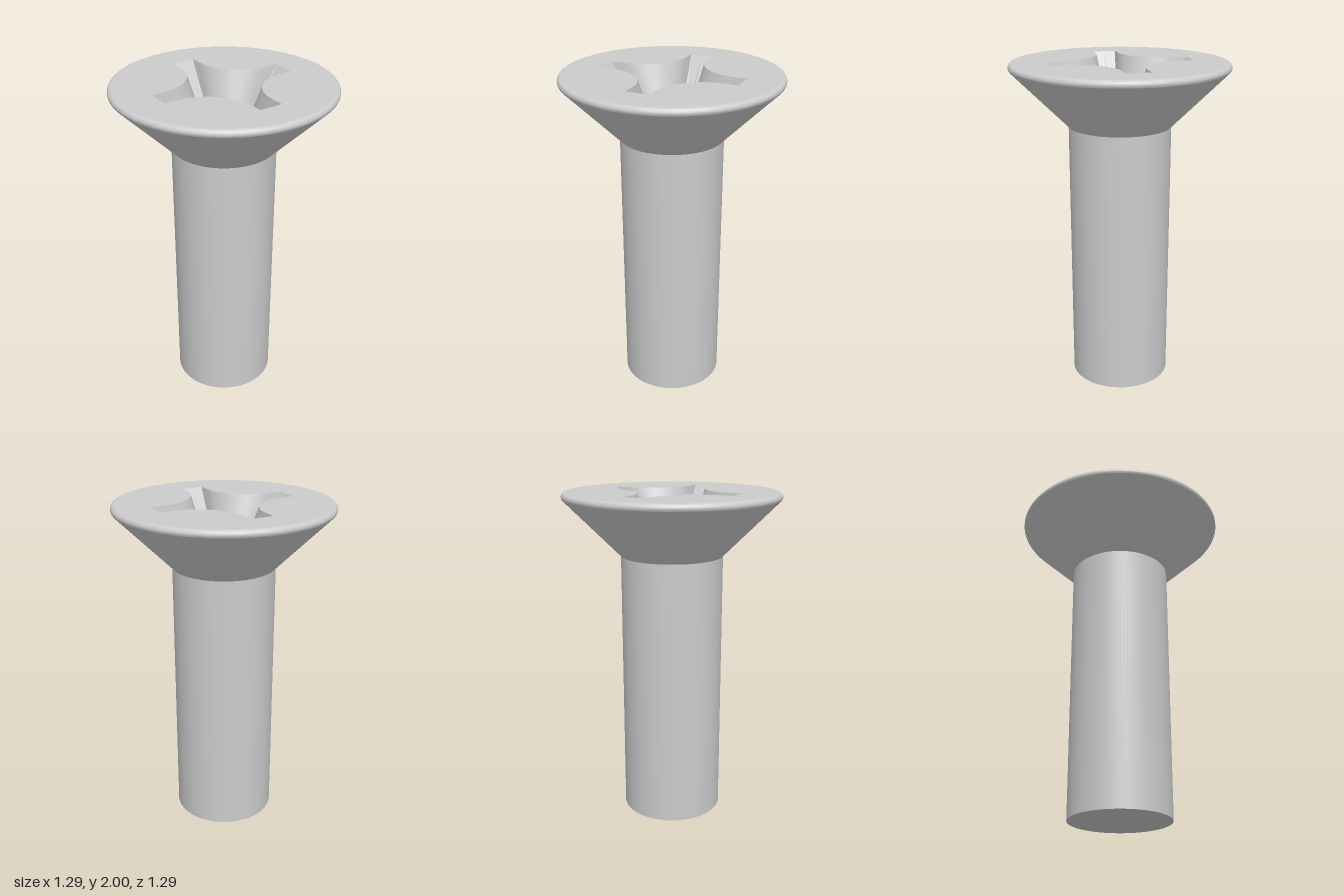
import * as THREE from 'three';
import { toCreasedNormals } from 'three/addons/utils/BufferGeometryUtils.js';

const TOP = 2, DEPTH = 0.41, RIM = 0.025, RIM_X = 0.62, SHANK = 0.305;

// Cross outline, counter-clockwise: the same number of points at the mouth and the floor
function crossOutline(half, reach, tip, radius) {
  const pts = [];
  const steps = 16, c = half + radius;
  for (let k = 0; k < 4; k++) {
    const quarter = [new THREE.Vector2(tip, 0), new THREE.Vector2(reach, half)];
    for (let i = 0; i <= steps; i++) {
      const a = Math.PI * (1.5 - 0.5 * i / steps);
      quarter.push(new THREE.Vector2(c + radius * Math.cos(a), c + radius * Math.sin(a)));
    }
    quarter.push(new THREE.Vector2(half, reach));
    const origin = new THREE.Vector2();
    quarter.forEach(p => pts.push(p.rotateAround(origin, k * Math.PI / 2)));
  }
  return pts;
}

// Walls between two outlines, facing the inside of the recess
function recessWalls(upper, lower, yTop, yBottom) {
  const pos = [];
  const tri = (...v) => {
    const area = new THREE.Triangle(...v).getArea();
    if (area > 1e-7) v.forEach(p => pos.push(p.x, p.y, p.z));
  };
  const at = (p, y) => new THREE.Vector3(p.x, y, -p.y);
  upper.forEach((p, i) => {
    const j = (i + 1) % upper.length;
    const a = at(p, yTop), b = at(upper[j], yTop);
    const c = at(lower[i], yBottom), d = at(lower[j], yBottom);
    tri(c, a, b);
    tri(c, b, d);
  });
  const geo = new THREE.BufferGeometry();
  geo.setAttribute('position', new THREE.Float32BufferAttribute(pos, 3));
  return toCreasedNormals(geo, 0.35);
}

export function createModel() {
  const group = new THREE.Group();
  const material = new THREE.MeshStandardMaterial({ color: 0xcccccc });
  const add = (name, geo) => {
    const mesh = new THREE.Mesh(geo, material);
    mesh.name = name;
    group.add(mesh);
  };
  const lathe = pts => toCreasedNormals(
    new THREE.LatheGeometry(pts.map(p => new THREE.Vector2(...p)), 96), 0.45);
  const flat = (shape, y) => new THREE.ShapeGeometry(shape).rotateX(-Math.PI / 2).translate(0, y, 0);

  // Plain shank with a flat end
  const neckY = TOP - RIM - RIM * Math.SQRT1_2 - (RIM_X + RIM * Math.SQRT1_2 - SHANK);
  add('shank', lathe([[0, 0], [SHANK, 0], [SHANK, neckY]]));

  // Countersunk head: 45 degree cone and rounded rim
  const head = [[SHANK, neckY]];
  for (let i = 0; i <= 9; i++) {
    const a = -Math.PI / 4 + i / 9 * Math.PI * 0.75;
    head.push([RIM_X + RIM * Math.cos(a), TOP - RIM + RIM * Math.sin(a)]);
  }
  add('headCone', lathe(head));

  // Flat top pierced by the cross recess
  const mouth = crossOutline(0.07, 0.425, 0.425, 0.28);
  const floor = crossOutline(0.02, 0.115, 0.135, 0.095);
  const disc = new THREE.Shape();
  for (let i = 0; i < 96; i++) {
    const a = i / 96 * Math.PI * 2;
    disc[i ? 'lineTo' : 'moveTo'](RIM_X * Math.cos(a), RIM_X * Math.sin(a));
  }
  disc.closePath();
  disc.holes.push(new THREE.Path(mouth));
  add('headTop', flat(disc, TOP));

  // Tapering recess
  add('recessWalls', recessWalls(mouth, floor, TOP, TOP - DEPTH));
  add('recessFloor', flat(new THREE.Shape(floor), TOP - DEPTH));
  return group;
}
